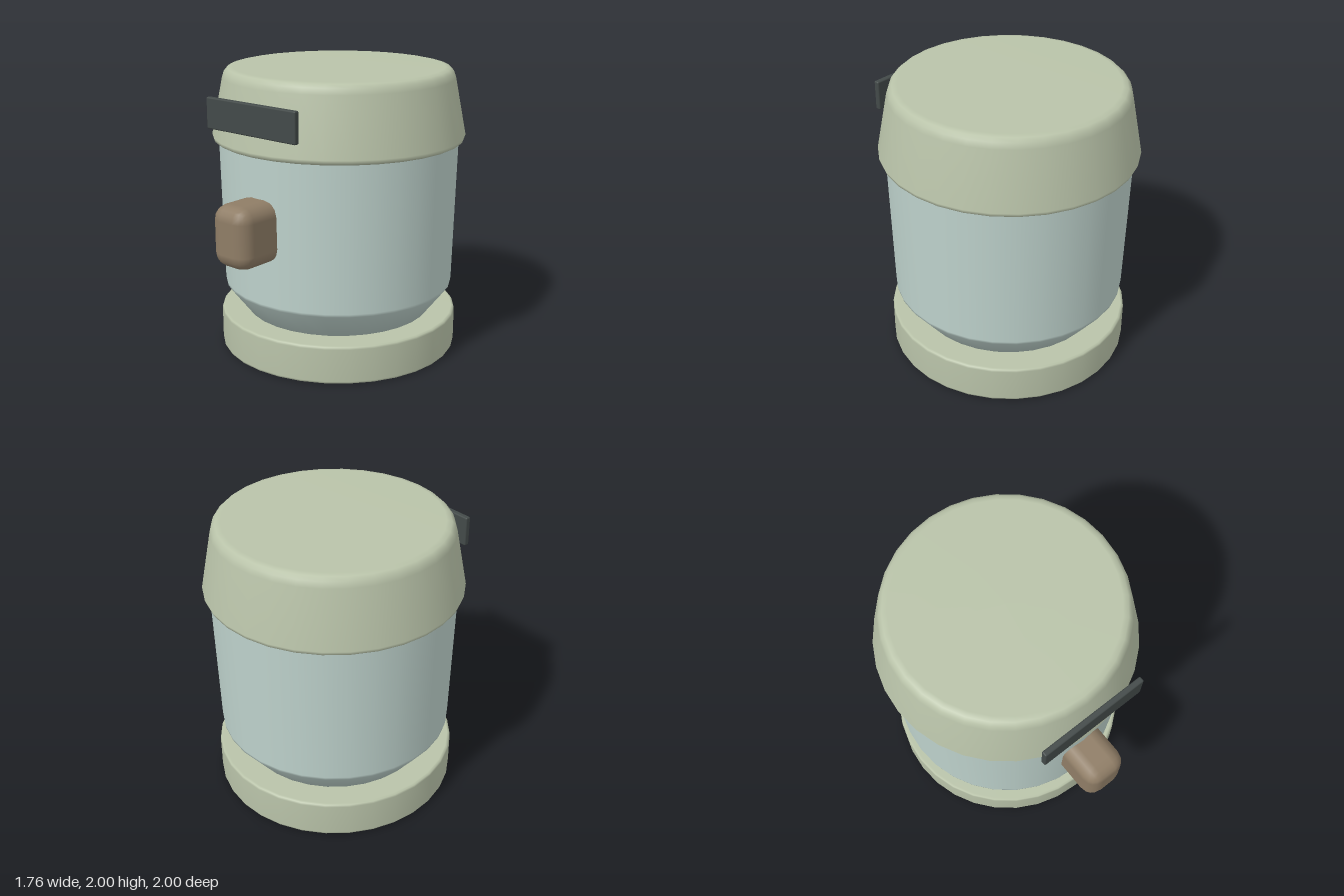
import * as THREE from 'three';
import { RoundedBoxGeometry } from 'three/addons/geometries/RoundedBoxGeometry.js';

const SIDES = 32;
const AXIS_Z = -0.115; // the round parts sit behind the centre, the nozzle sticks out in front

const paint = (color) => new THREE.MeshStandardMaterial({ color });

export function createModel() {
  const group = new THREE.Group();
  const sage = paint(0xb9c3a9);
  const mint = paint(0xbed2cc);
  const brown = paint(0x8f7d66);
  const charcoal = paint(0x434a49);

  const add = (name, geometry, material, x, y, z) => {
    const mesh = new THREE.Mesh(geometry, material);
    mesh.name = name;
    mesh.position.set(x, y, z);
    group.add(mesh);
  };

  // Round part turned from a profile of [radius, height], bottom to top
  const turned = (name, profile, material) => {
    const points = profile.map(([r, y]) => new THREE.Vector2(r, y));
    add(name, new THREE.LatheGeometry(points, SIDES), material, 0, 0, AXIS_Z);
  };

  // Base disc with a small bevel
  turned('base', [
    [0, 0], [0.825, 0], [0.839, 0.006], [0.845, 0.02],
    [0.845, 0.25], [0.839, 0.264], [0.825, 0.27], [0, 0.27],
  ], sage);

  // Slightly flared body with a chamfered foot
  turned('body', [
    [0, 0.25], [0.645, 0.25], [0.81, 0.465], [0.813, 0.485],
    [0.835, 1.5], [0.835, 1.52], [0, 1.52],
  ], mint);

  // Tapered lid with a rounded top edge
  turned('lid', [
    [0, 1.5], [0.855, 1.5], [0.872, 1.51], [0.88, 1.535],
    [0.802, 1.93], [0.788, 1.97], [0.765, 1.992], [0.73, 2], [0, 2],
  ], sage);

  // Flat plate on the front of the lid
  add('frontPlate', new RoundedBoxGeometry(0.78, 0.21, 0.04, 2, 0.01), charcoal, 0, 1.748, 0.75);

  // Soft-cornered nozzle block on the front of the body
  add('nozzle', new RoundedBoxGeometry(0.31, 0.42, 0.46, 2, 0.1), brown, 0, 1.012, 0.77);

  return group;
}
